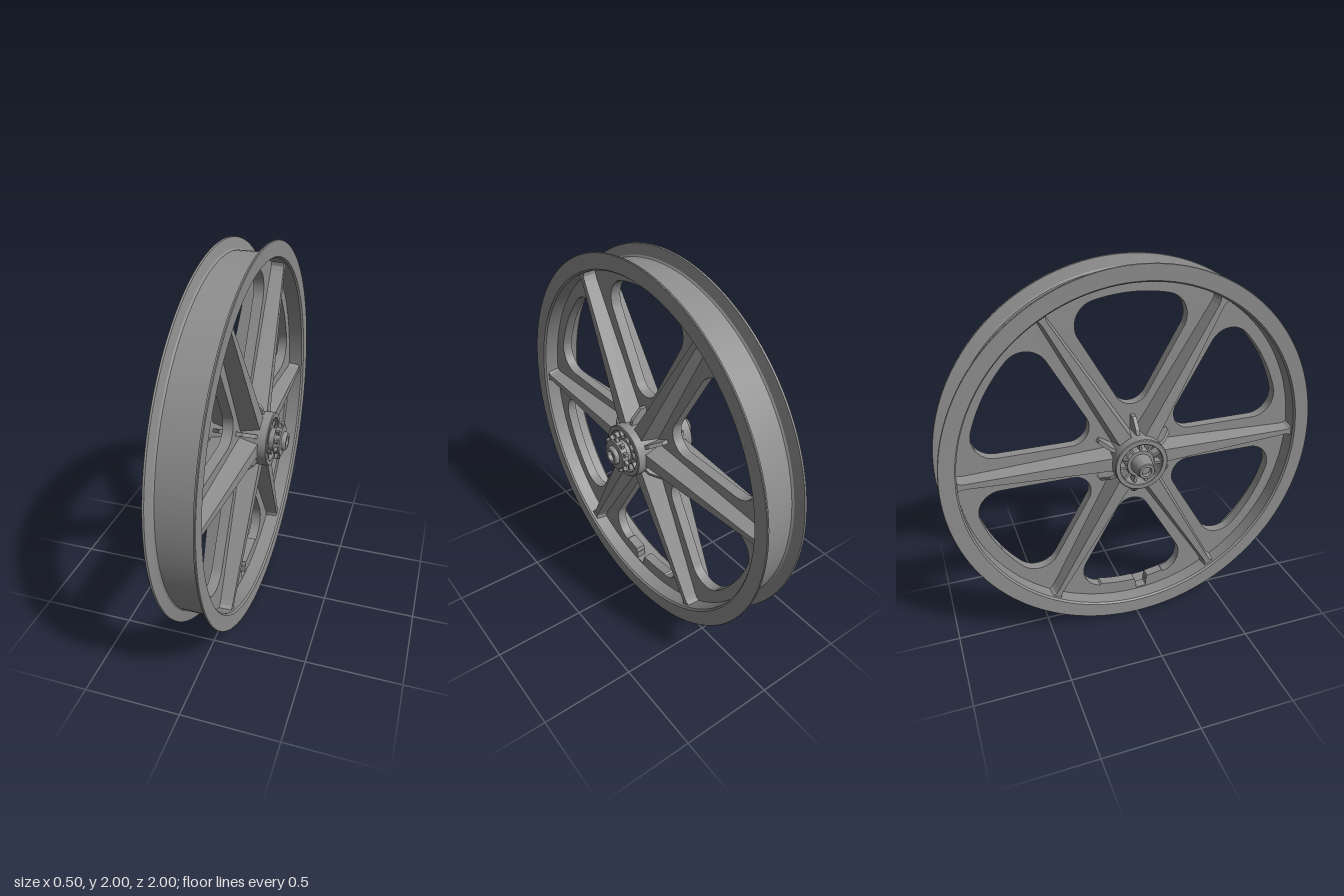
import * as THREE from 'three';
import { toCreasedNormals } from 'three/addons/utils/BufferGeometryUtils.js';

const DEG = Math.PI / 180;
const SPOKES = 6;
const TEETH = 11;

const metal = new THREE.MeshStandardMaterial({ color: 0x8e8e8e });
metal.name = 'grey metal';

function addMesh(parent, name, geometry) {
  const mesh = new THREE.Mesh(geometry, metal);
  mesh.name = name;
  parent.add(mesh);
  return mesh;
}

// Closed profile of [radius, axial] points turned about the wheel axis (local z)
function turned(profile, segments) {
  const points = [...profile, profile[0]].map(([r, a]) => new THREE.Vector2(r, a));
  const geometry = new THREE.LatheGeometry(points, segments).rotateX(Math.PI / 2);
  return toCreasedNormals(geometry, 0.5);
}

// Flat plate centred on local z
function plate(shape, thickness, z = 0) {
  const geometry = new THREE.ExtrudeGeometry(shape, { depth: thickness, bevelEnabled: false, curveSegments: 24 });
  return toCreasedNormals(geometry.translate(0, 0, z - thickness / 2), 0.5);
}

// Two-sided tapered ridge along local x; each section is [radius, half top, half base, height]
function ridge(sections) {
  const loops = sections.map(([r, t, b, h]) =>
    [[b, 0], [t, h], [-t, h], [-b, 0], [-t, -h], [t, -h]].map(([v, z]) => [r, v, z]));
  const out = [];
  for (let i = 0; i < loops.length - 1; i++) {
    for (let k = 0; k < 6; k++) {
      const n = (k + 1) % 6;
      const [a, b, c, d] = [loops[i][k], loops[i][n], loops[i + 1][n], loops[i + 1][k]];
      out.push(...a, ...b, ...c, ...a, ...c, ...d);
    }
  }
  const end = loops[loops.length - 1];
  for (let k = 1; k < 5; k++) out.push(...end[0], ...end[k], ...end[k + 1]);
  const geometry = new THREE.BufferGeometry();
  geometry.setAttribute('position', new THREE.Float32BufferAttribute(out, 3));
  geometry.computeVertexNormals();
  return geometry;
}

// Rounded window between two spokes; turn is its angle from straight up
function windowPath(turn, withValveSlot) {
  const side = 0.092, inner = 0.095, outer = 0.12, R = 0.85;
  const polar = 60 + Math.asin((side + outer) / (R - outer)) / DEG;
  const path = new THREE.Path();
  const arc = (centreR, centreAngle, radius, from, to) => {
    const c = (centreAngle + turn) * DEG;
    path.absarc(centreR * Math.cos(c), centreR * Math.sin(c), radius, (from + turn) * DEG, (to + turn) * DEG, false);
  };
  arc(2 * (side + inner), 90, inner, 210, 330);
  arc(R - outer, polar, outer, -30, polar);
  if (withValveSlot) {
    arc(0, 0, R - 0.01, polar + 0.5, 83.6);
    arc(0, 0, R + 0.015, 84.2, 84.4);
    arc(0, 0, 0.905, 84.6, 88.3);
    arc(0, 0, R + 0.015, 88.3, 88.5);
    arc(0, 0, R - 0.01, 89, 180 - polar - 0.5);
  } else {
    arc(0, 0, R, polar, 180 - polar);
  }
  arc(R - outer, 180 - polar, outer, 180 - polar, 210);
  return path;
}

export function createModel() {
  const model = new THREE.Group();
  model.name = 'wheel';
  const wheel = new THREE.Group();
  wheel.name = 'wheelAssembly';
  wheel.rotation.y = Math.PI / 2; // axle along x
  wheel.position.y = 1;
  model.add(wheel);

  // Channel-shaped rim
  addMesh(wheel, 'rim', turned([
    [0.912, -0.105], [0.92, -0.115], [0.997, -0.117], [1, -0.114], [0.998, -0.106],
    [0.945, -0.095], [0.937, -0.088], [0.937, 0.088], [0.945, 0.095],
    [0.998, 0.106], [1, 0.114], [0.997, 0.117], [0.92, 0.115], [0.912, 0.105],
  ], 128));

  // Thin web with six windows, one notched for the valve
  const webShape = new THREE.Shape().absarc(0, 0, 0.92, 0, Math.PI * 2, false);
  for (let i = 0; i < SPOKES; i++) webShape.holes.push(windowPath(i * 60, i === 3));
  webShape.holes.push(new THREE.Path().absarc(0, 0, 0.125, 0, Math.PI * 2, true));
  addMesh(wheel, 'web', plate(webShape, 0.054));

  // Tapered spoke ridges, and short fins between them
  const spokeGeometry = ridge([
    [0.12, 0.036, 0.062, 0.125], [0.87, 0.014, 0.03, 0.092], [0.895, 0.016, 0.032, 0.091], [0.918, 0.032, 0.042, 0.09],
  ]);
  const finGeometry = ridge([[0.12, 0.01, 0.012, 0.125], [0.17, 0.01, 0.012, 0.11], [0.22, 0.01, 0.012, 0.06]]);
  for (let i = 0; i < SPOKES; i++) {
    addMesh(wheel, 'spoke', spokeGeometry).rotation.z = i * 60 * DEG;
    addMesh(wheel, 'hubFin', finGeometry).rotation.z = (i * 60 + 30) * DEG;
  }

  // Open hub shell
  addMesh(wheel, 'hubShell', turned([
    [0.113, -0.172], [0.116, -0.175], [0.137, -0.175], [0.141, -0.171],
    [0.141, 0.166], [0.137, 0.17], [0.116, 0.17], [0.113, 0.167],
  ], 64));

  // Inner barrel joined to the shell by radial ribs at each end
  addMesh(wheel, 'hubBarrel', turned([
    [0.02, -0.16], [0.072, -0.16], [0.078, -0.15], [0.078, 0.15], [0.072, 0.16], [0.02, 0.16],
  ], 48));
  for (const z of [-0.13, 0.13]) {
    for (let i = 0; i < TEETH; i++) {
      const a = (i / TEETH) * Math.PI * 2 + Math.PI / 2;
      const rib = addMesh(wheel, 'hubRib', new THREE.BoxGeometry(0.046, 0.014, 0.05));
      rib.position.set(0.094 * Math.cos(a), 0.094 * Math.sin(a), z);
      rib.rotation.z = a;
    }
  }

  // Toothed ring outside the hub
  const cog = new THREE.Shape();
  for (let i = 0; i < TEETH; i++) {
    [[-0.5, 0.077], [-0.28, 0.079], [-0.1, 0.1], [0.1, 0.1], [0.28, 0.079]].forEach(([o, r], k) => {
      const a = ((i + o) / TEETH) * Math.PI * 2 + Math.PI / 2;
      cog[i + k === 0 ? 'moveTo' : 'lineTo'](r * Math.cos(a), r * Math.sin(a));
    });
  }
  cog.closePath();
  addMesh(wheel, 'cog', plate(cog, 0.018, 0.206));

  // Stepped axle ends with recessed centres
  addMesh(wheel, 'cogAxleEnd', turned([
    [0.001, 0.14], [0.06, 0.14], [0.06, 0.185], [0.078, 0.188], [0.078, 0.222], [0.05, 0.224],
    [0.048, 0.238], [0.042, 0.246], [0.027, 0.246], [0.025, 0.225], [0.001, 0.225],
  ], 40));
  addMesh(wheel, 'plainAxleEnd', turned([
    [0.001, -0.225], [0.024, -0.225], [0.026, -0.249], [0.039, -0.249], [0.043, -0.245],
    [0.054, -0.18], [0.056, -0.14], [0.001, -0.14],
  ], 40));

  return model;
}
